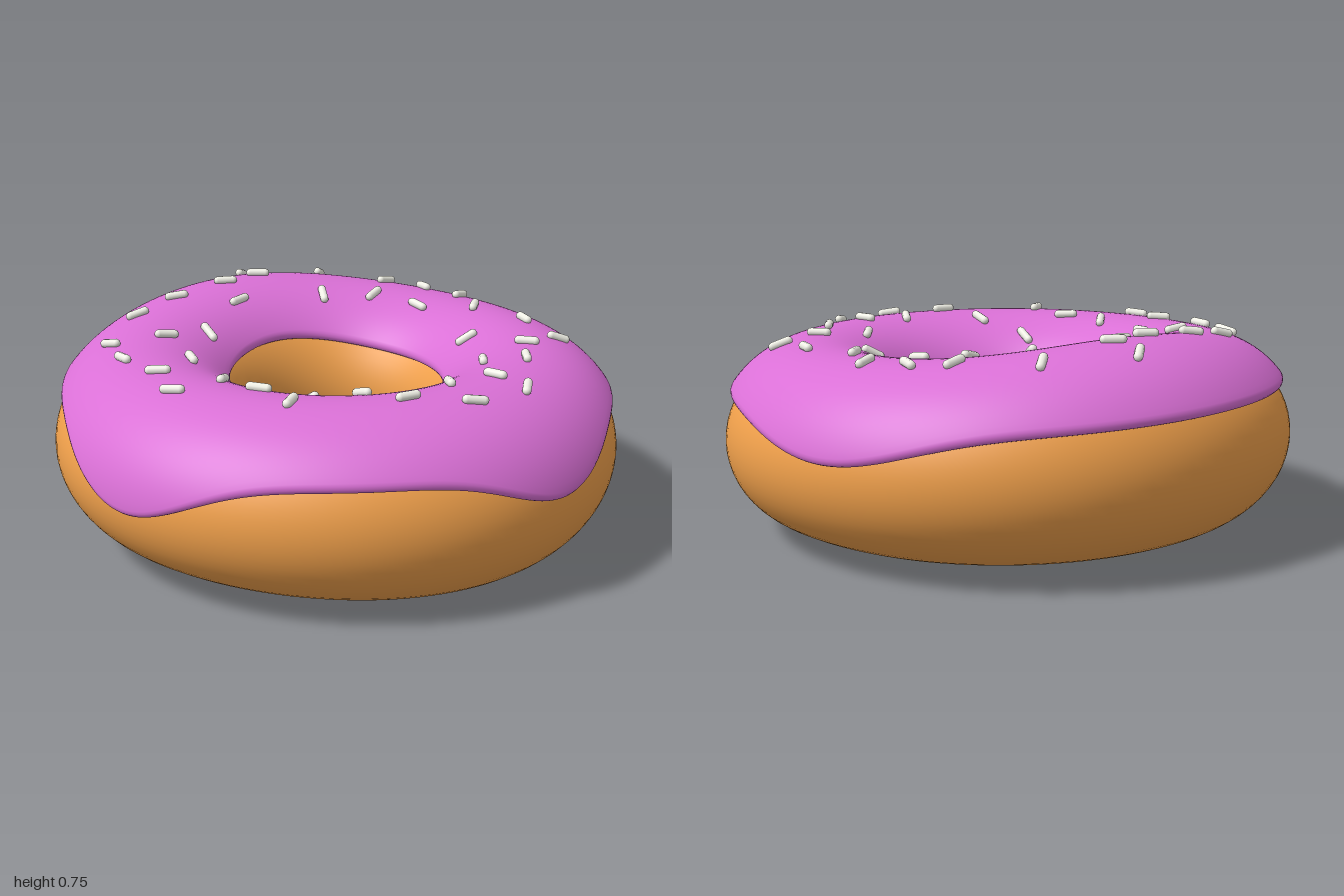
import * as THREE from 'three';

const R = 0.65, A = 0.318, TH = 0.036;      // ring radius, tube half-width, icing thickness
const CZ = -0.015;                          // slight offset of the ring
const DEG = Math.PI / 180;

// Smooth bump of the given width around an angle (degrees, 0 = front, 90 = +x)
function bump(phi, centre, width) {
  const d = Math.atan2(Math.sin(phi - centre * DEG), Math.cos(phi - centre * DEG)) / DEG;
  return Math.exp(-0.5 * (d / width) ** 2);
}

// Uneven underside and top of the dough around the ring
function tube(phi) {
  const c = Math.cos(phi);
  const bottom = 0.045 - (c > 0 ? 0.042 : -0.006) * c * c;
  const top = 0.614 + 0.072 * bump(phi, 162, 34);
  return { mid: (top + bottom) / 2, b: (top - bottom) / 2 };
}

// Point on the dough at ring angle phi and section angle t (0 = outside), raised by h
function surface(phi, t, h) {
  const { mid, b } = tube(phi);
  const r = R + (A + h) * Math.cos(t);
  return new THREE.Vector3(r * Math.sin(phi), mid + (b + h * 1.25) * Math.sin(t), CZ + r * Math.cos(phi));
}

// Height of the icing's lower edge, with three drips
function rimHeight(phi) {
  return 0.485 + 0.05 * bump(phi, 180, 45)
    - 0.125 * bump(phi, -6, 12) - 0.1 * bump(phi, 92, 15) - 0.165 * bump(phi, -93, 13);
}

// Loft closed around the ring; section(phi) returns the points of one cross-section
function ringLoft(section, steps, closed) {
  const pos = [], idx = [];
  let n = 0;
  for (let i = 0; i < steps; i++) {
    const pts = section((i / steps) * Math.PI * 2);
    n = pts.length;
    pts.forEach(p => pos.push(p.x, p.y, p.z));
  }
  for (let i = 0; i < steps; i++) {
    const k = (i + 1) % steps;
    for (let j = 0; j < (closed ? n : n - 1); j++) {
      const m = (j + 1) % n;
      idx.push(i * n + j, k * n + j, i * n + m, k * n + j, k * n + m, i * n + m);
    }
  }
  const g = new THREE.BufferGeometry();
  g.setAttribute('position', new THREE.Float32BufferAttribute(pos, 3));
  g.setIndex(idx);
  g.computeVertexNormals();
  return g;
}

function doughSection(phi) {
  return Array.from({ length: 56 }, (_, j) => surface(phi, (j / 56) * Math.PI * 2, 0));
}

// Icing section: rounded outer lip, top sweep, rounded inner lip
function icingSection(phi) {
  const { mid, b } = tube(phi);
  const t0 = Math.asin((rimHeight(phi) - mid) / (b + TH)), t1 = 146 * DEG, lip = 0.07;
  const pts = [], caps = 8, sweep = 36;
  const cap = c => ({ back: lip * (1 - Math.sin(c)), h: TH * (0.5 - 0.5 * Math.cos(c)) - 0.003 });
  for (let j = 0; j <= caps; j++) {
    const e = cap((j / caps) * Math.PI);
    pts.push(surface(phi, t0 + e.back, e.h));
  }
  for (let j = 1; j < sweep; j++) {
    pts.push(surface(phi, THREE.MathUtils.lerp(t0 + lip, t1 - lip, j / sweep), TH - 0.003));
  }
  for (let j = caps; j >= 0; j--) {
    const e = cap((j / caps) * Math.PI);
    pts.push(surface(phi, t1 - e.back, e.h));
  }
  return pts;
}

// Point on top of the icing above (x, z)
function onIcing(x, z) {
  const r = Math.hypot(x, z - CZ);
  const t = Math.acos(THREE.MathUtils.clamp((r - R) / (A + TH), -1, 1));
  return surface(Math.atan2(x, z - CZ), t, TH);
}

// Sprinkles: x, z in hundredths, heading in degrees
const SPRINKLES = [
  [-28, -69, 25], [-9, -68, 40], [13, -64, 42], [32, -73, -25], [29, -62, 50], [56, -54, -25],
  [6, -51, 5], [-52, -58, 90], [-61, -43, -75], [-36, -47, 28], [-18, -44, -80], [-64, -24, 55],
  [-43, -29, -60], [36, -36, -50], [66, -29, 8], [50, -23, -3], [71, -15, -62], [53, -5, -80],
  [72, 1, -3], [-73, -9, 70], [-54, -5, -28], [-55, 11, 65], [-38, 18, -70], [-60, 28, -18],
  [-36, 37, -75], [-35, 54, 25], [-14, 55, -45], [-22, 70, 42], [0, 63, 90], [0, 75, -28],
  [16, 48, -35], [22, 61, -38], [37, 52, 65], [53, 55, 38], [61, 36, -60], [62, 14, -25],
  [39, 26, 35],
];

export function createModel() {
  const group = new THREE.Group();
  const add = (name, geometry, color, parent = group) => {
    const mesh = new THREE.Mesh(geometry, new THREE.MeshStandardMaterial({ color }));
    mesh.name = name;
    parent.add(mesh);
    return mesh;
  };

  add('dough', ringLoft(doughSection, 128, true), 0xf0a04b);
  add('icing', ringLoft(icingSection, 240, false), 0xda70d6).material.side = THREE.DoubleSide;

  // Sprinkles lie along the slope of the icing
  const sprinkles = new THREE.Group();
  sprinkles.name = 'sprinkles';
  group.add(sprinkles);
  const rod = new THREE.CapsuleGeometry(0.015, 0.056, 4, 10);
  const up = new THREE.Vector3(0, 1, 0);
  for (const [x, z, a] of SPRINKLES) {
    const dx = 0.035 * Math.cos(a * DEG), dz = 0.035 * Math.sin(a * DEG);
    const p = onIcing(x / 100 - dx, z / 100 - dz), q = onIcing(x / 100 + dx, z / 100 + dz);
    const s = add('sprinkle', rod, 0xf0f0e6, sprinkles);
    s.position.copy(p).add(q).multiplyScalar(0.5);
    s.position.y += 0.006;
    s.quaternion.setFromUnitVectors(up, q.sub(p).normalize());
  }
  return group;
}
